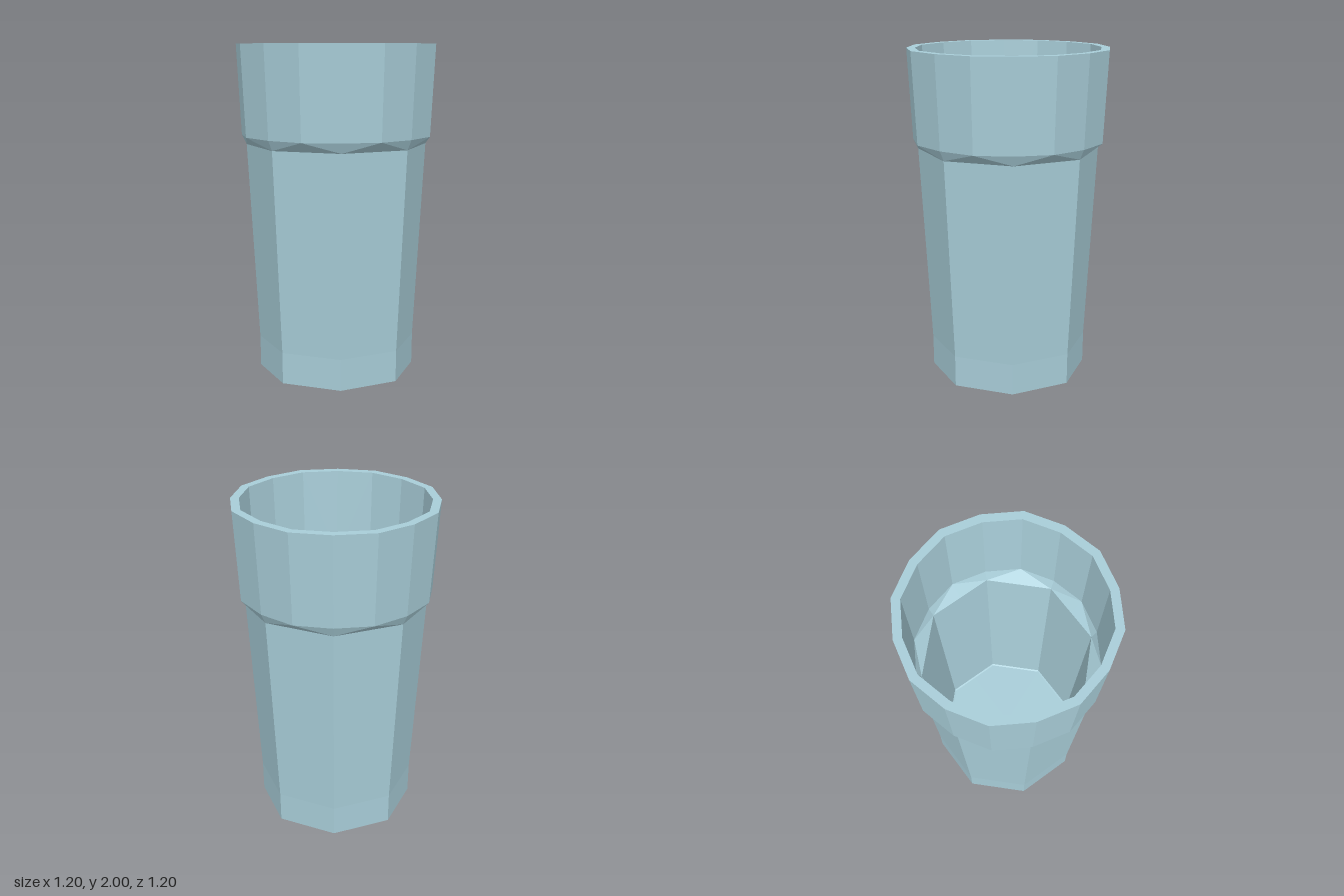
import * as THREE from 'three';

const SIDES = 16;
const FLAT = Math.cos(Math.PI / 8); // mid points lie on the flat octagon sides
const ROUND = 1.016;                // mid points bulge out to make sixteen sides

// Each ring: height, corner radius, factor for the mid points between corners
const outerProfile = [
  [0, 0.478, FLAT],
  [0.19, 0.48, FLAT],
  [1.4, 0.545, FLAT],
  [1.46, 0.573, ROUND],
  [2, 0.6, ROUND],
];
const rimProfile = [[2, 0.6, ROUND], [2, 0.55, ROUND]];
const innerProfile = [
  [2, 0.55, ROUND],
  [1.46, 0.53, ROUND],
  [1.4, 0.503, FLAT],
  [0.2, 0.43, FLAT],
  [0.195, 0.42, FLAT],
];

function ringPoint([y, r, mid], j) {
  const a = (j / SIDES) * Math.PI * 2;
  const radius = j % 2 ? r * mid : r;
  return [Math.sin(a) * radius, y, Math.cos(a) * radius];
}

function toGeometry(points) {
  const g = new THREE.BufferGeometry();
  g.setAttribute('position', new THREE.Float32BufferAttribute(points.flat(), 3));
  g.computeVertexNormals(); // unshared corners give flat facets
  return g;
}

// Skin consecutive rings, with diagonals mirrored about every octagon corner
function skin(profile) {
  const tris = [];
  for (let i = 0; i < profile.length - 1; i++) {
    for (let j = 0; j < SIDES; j++) {
      const a = ringPoint(profile[i], j), b = ringPoint(profile[i], j + 1);
      const d = ringPoint(profile[i + 1], j), c = ringPoint(profile[i + 1], j + 1);
      const lowerHasFlats = profile[i][2] === FLAT;
      if ((j % 2 === 0) === lowerHasFlats) tris.push(a, b, c, a, c, d);
      else tris.push(a, b, d, b, c, d);
    }
  }
  return toGeometry(tris);
}

// Close a ring with a flat fan
function cap(ring, up) {
  const tris = [];
  const centre = [0, ring[0], 0];
  for (let j = 0; j < SIDES; j++) {
    const a = ringPoint(ring, j), b = ringPoint(ring, j + 1);
    tris.push(centre, ...(up ? [a, b] : [b, a]));
  }
  return toGeometry(tris);
}

export function createModel() {
  const model = new THREE.Group();
  model.name = 'drinkingGlass';
  const material = new THREE.MeshStandardMaterial({ color: 0xa8cdd8, flatShading: true });

  const add = (name, geometry) => {
    const mesh = new THREE.Mesh(geometry, material);
    mesh.name = name;
    model.add(mesh);
  };

  add('outerWall', skin(outerProfile));
  add('rim', skin(rimProfile));
  add('innerWall', skin(innerProfile));
  add('innerFloor', cap(innerProfile[innerProfile.length - 1], true));
  add('base', cap(outerProfile[0], false));
  return model;
}
